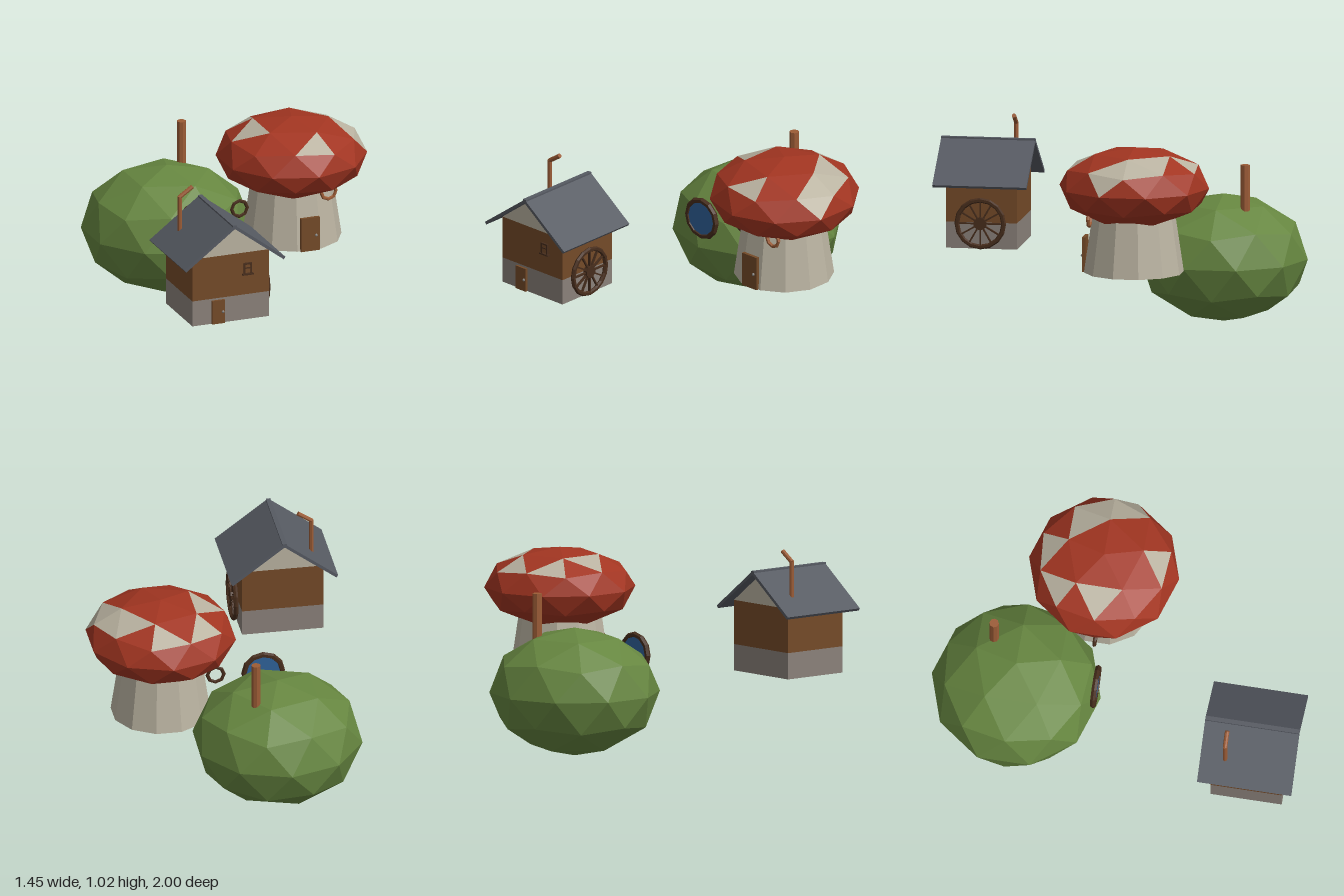
import * as THREE from 'three';

const mat = (name, color) => Object.assign(new THREE.MeshStandardMaterial({ color }), { name });

export function createModel() {
  const root = new THREE.Group();
  root.name = 'villageHouses';
  const M = {
    green: mat('grass green', 0x668640),
    red: mat('cap red', 0xa23521),
    cream: mat('plaster cream', 0xbab3a1),
    stone: mat('stone grey', 0x8a817a),
    wood: mat('wood brown', 0x744a28),
    dark: mat('dark wood', 0x472d1c),
    copper: mat('copper pipe', 0x9c5c36),
    slate: mat('roof slate', 0x565a62),
    blue: mat('window blue', 0x2f629a),
    metal: mat('knob metal', 0x85827e),
  };

  // Faceted normals for every low-poly part
  const flat = (g) => {
    const n = g.index ? g.toNonIndexed() : g;
    n.computeVertexNormals();
    return n;
  };
  const add = (parent, name, geo, material, x = 0, y = 0, z = 0) => {
    const m = new THREE.Mesh(flat(geo), material);
    m.name = name;
    m.position.set(x, y, z);
    parent.add(m);
    return m;
  };
  const group = (name) => {
    const g = new THREE.Group();
    g.name = name;
    root.add(g);
    return g;
  };
  const box = (w, h, d) => new THREE.BoxGeometry(w, h, d);
  const cyl = (rt, rb, h, n) => new THREE.CylinderGeometry(rt, rb, h, n);
  const ring = (r, tube, n) => new THREE.TorusGeometry(r, tube, 6, n);
  const knob = () => new THREE.IcosahedronGeometry(0.008, 1);
  // Icosphere standing on one of its corners
  const icosphere = () => new THREE.IcosahedronGeometry(1, 1)
    .rotateZ(-Math.atan(2 / (1 + Math.sqrt(5))));

  // ---- Hill house ----
  const hill = group('hillHouse');
  add(hill, 'hillMound', icosphere().scale(0.452, 0.34, 0.45), M.green, -0.215, 0.34, -0.55);
  add(hill, 'hillChimney', cyl(0.025, 0.025, 0.36, 8), M.copper, -0.075, 0.68, -0.69);
  add(hill, 'roundWindowPane', cyl(0.1, 0.1, 0.016, 16).rotateX(Math.PI / 2), M.blue, -0.213, 0.5, -0.127);
  add(hill, 'roundWindowFrame', ring(0.101, 0.016, 12), M.dark, -0.213, 0.5, -0.127);

  // ---- Mushroom house ----
  const mushroom = group('mushroomHouse');
  const stem = cyl(0.205, 0.264, 0.4, 12).rotateY(Math.PI / 12);
  add(mushroom, 'stem', stem, M.cream, 0.342, 0.545, -0.167);

  // Cap: chosen facets on the upper half are cream spots
  const spots = [[0.703, 0.167], [0.844, 0.27], [0.703, -0.167], [0.459, -0.333],
    [0.058, 0.72], [0.058, -0.72], [-0.471, -0.548], [-0.567, 0]];
  const cap = icosphere();
  const p = cap.attributes.position;
  for (let i = 0; i < p.count; i += 3) {
    const mean = (f) => (p[f](i) + p[f](i + 1) + p[f](i + 2)) / 3;
    const cx = mean('getX'), cy = mean('getY'), cz = mean('getZ');
    const isSpot = cy > 0 && spots.some(([x, z]) => Math.hypot(x - cx, z - cz) < 0.04);
    cap.addGroup(i, 3, isSpot ? 1 : 0);
  }
  add(mushroom, 'cap', cap.scale(0.4, 0.21, 0.4), [M.red, M.cream], 0.342, 0.8, -0.17);

  add(mushroom, 'mushroomDoor', box(0.105, 0.185, 0.018), M.wood, 0.343, 0.437, 0.092);
  add(mushroom, 'mushroomDoorKnob', knob(), M.metal, 0.375, 0.43, 0.103);
  add(mushroom, 'frontRing', ring(0.042, 0.01, 8), M.copper, 0.465, 0.645, 0.05);
  add(mushroom, 'sideRing', ring(0.044, 0.01, 8), M.dark, 0.048, 0.53, -0.17);

  // ---- Mill house ----
  const mill = group('millHouse');
  const X = -0.439, Z = 0.745, W = 0.434, D = 0.38;
  add(mill, 'stoneBase', box(W, 0.14, D), M.stone, X, 0.415, Z);
  add(mill, 'woodWalls', box(W, 0.235, D), M.wood, X, 0.6025, Z);
  const gable = new THREE.Shape([
    new THREE.Vector2(-W / 2, 0), new THREE.Vector2(W / 2, 0), new THREE.Vector2(0, 0.163)]);
  add(mill, 'gable', new THREE.ExtrudeGeometry(gable, { depth: D, bevelEnabled: false }),
    M.cream, X, 0.72, Z - D / 2);

  // Roof slopes mirrored about the ridge
  for (const s of [-1, 1]) {
    const slope = add(mill, 'roofSlope', box(0.35, 0.016, 0.502), M.slate, X + s * 0.141, 0.787, Z);
    slope.rotation.z = -s * Math.atan(0.75);
  }
  add(mill, 'roofRidge', box(0.024, 0.022, 0.502), M.slate, X, 0.892, Z);

  // Bent stove pipe
  add(mill, 'stovePipe', cyl(0.012, 0.012, 0.24, 8), M.copper, -0.605, 0.842, 0.625);
  const bend = add(mill, 'stovePipeBend', cyl(0.012, 0.012, 0.09, 8), M.copper, -0.57, 0.982, 0.625);
  bend.rotation.z = -Math.atan2(0.07, 0.047);

  // Door and window
  add(mill, 'millDoor', box(0.072, 0.13, 0.016), M.wood, -0.512, 0.41, 0.94);
  add(mill, 'millDoorKnob', knob(), M.metal, -0.488, 0.41, 0.949);
  add(mill, 'windowPane', box(0.04, 0.05, 0.008), M.wood, -0.345, 0.632, 0.938);
  for (const s of [-1, 1]) {
    add(mill, 'windowPost', box(0.008, 0.06, 0.014), M.dark, -0.345 + s * 0.019, 0.632, 0.94);
  }
  add(mill, 'windowLintel', box(0.046, 0.008, 0.014), M.dark, -0.345, 0.658, 0.94);
  add(mill, 'windowBar', box(0.036, 0.006, 0.014), M.dark, -0.345, 0.635, 0.94);
  add(mill, 'windowSill', box(0.062, 0.008, 0.018), M.dark, -0.345, 0.6, 0.942);

  // Water wheel on the side wall
  const wheel = new THREE.Group();
  wheel.name = 'waterWheel';
  wheel.position.set(-0.203, 0.482, 0.748);
  wheel.rotation.y = Math.PI / 2;
  mill.add(wheel);
  add(wheel, 'wheelRim', ring(0.125, 0.013, 16), M.dark);
  add(wheel, 'wheelHub', cyl(0.034, 0.034, 0.026, 10).rotateX(Math.PI / 2), M.dark);
  for (let i = 0; i < 12; i++) {
    const a = (i / 12) * Math.PI * 2;
    const spoke = add(wheel, 'wheelSpoke', box(0.1, 0.008, 0.012), M.dark,
      Math.cos(a) * 0.075, Math.sin(a) * 0.075, 0);
    spoke.rotation.z = a;
  }
  return root;
}
